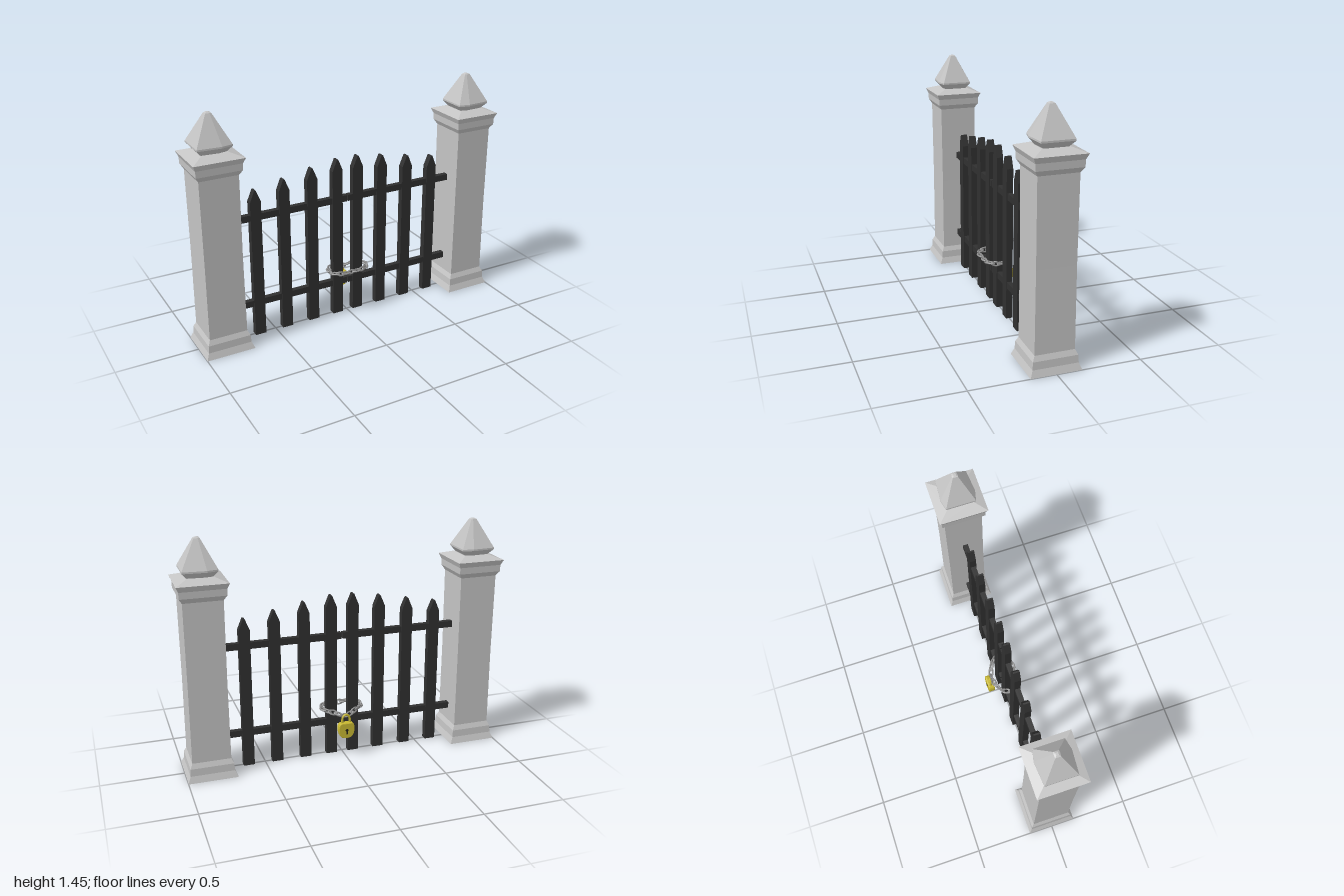
import * as THREE from 'three';

const material = (name, color, extra = {}) =>
  Object.assign(new THREE.MeshStandardMaterial({ color, ...extra }), { name });

// Stacks scaled copies of an outline ([x, z], counter-clockwise seen from above): levels are [scale, y]
function loft(outline, levels) {
  const pos = [];
  const point = (i, l) => {
    const [x, z] = outline[i % outline.length];
    return [x * l[0], l[1], z * l[0]];
  };
  const n = outline.length, first = levels[0], last = levels[levels.length - 1];
  for (let i = 0; i < n; i++) {
    for (let k = 0; k < levels.length - 1; k++) {
      const a = point(i, levels[k]), b = point(i + 1, levels[k]);
      const c = point(i + 1, levels[k + 1]), d = point(i, levels[k + 1]);
      pos.push(...a, ...b, ...c, ...a, ...c, ...d);
    }
    pos.push(0, last[1], 0, ...point(i, last), ...point(i + 1, last));
    pos.push(0, first[1], 0, ...point(i + 1, first), ...point(i, first));
  }
  const g = new THREE.BufferGeometry();
  g.setAttribute('position', new THREE.Float32BufferAttribute(pos, 3));
  g.computeVertexNormals();
  return g;
}

export function createModel() {
  const root = new THREE.Group();
  root.name = 'gate';
  const stone = material('stone', 0xc4c4c4, { flatShading: true });
  const iron = material('darkIron', 0x303030, { flatShading: true });
  const steel = material('chainSteel', 0x8e8e8e);
  const brass = material('brass', 0xc8b832);
  const black = material('keyholeBlack', 0x262418);

  const add = (name, geometry, mat, x = 0, y = 0, z = 0, parent = root) => {
    const mesh = new THREE.Mesh(geometry, mat);
    mesh.name = name;
    mesh.position.set(x, y, z);
    parent.add(mesh);
    return mesh;
  };

  // Square pillars with a moulded foot, cap and pointed finial
  const square = [[-1, 1], [1, 1], [1, -1], [-1, -1]];
  const pillarGeo = loft(square, [[0.15, 0], [0.134, 0.04], [0.131, 0.085], [0.117, 0.115],
    [0.115, 0.6], [0.117, 1.1], [0.135, 1.13], [0.136, 1.17], [0.15, 1.203], [0.08, 1.228]]);
  const knob = [[-1, 0.9], [0.33, 1], [0.95, 0.86], [0.95, -0.86], [0.33, -1], [-1, -0.9]];
  const finialGeo = loft(knob, [[0.07, 1.22], [0.106, 1.262], [0.106, 1.272], [0.018, 1.44], [0.008, 1.446]]);
  for (const s of [-1, 1]) {
    const pillar = new THREE.Group();
    pillar.name = s > 0 ? 'leftPillar' : 'rightPillar';
    pillar.position.x = s * 0.85;
    pillar.rotation.y = s > 0 ? Math.PI : 0;
    add('pillarBody', pillarGeo, stone, 0, 0, 0, pillar);
    add('finial', finialGeo, stone, 0, 0, 0, pillar);
    root.add(pillar);
  }

  // Two gate leaves: pointed pickets on a pair of rails
  for (const s of [-1, 1]) {
    const leaf = new THREE.Group();
    leaf.name = s > 0 ? 'leftLeaf' : 'rightLeaf';
    for (const [x, top] of [[0.07, 1.037], [0.24, 1.012], [0.423, 0.978], [0.605, 0.945]]) {
      const w = 0.034;
      const shape = new THREE.Shape([[-w, 0], [w, 0], [w, top - 0.07], [0.005, top], [-0.005, top], [-w, top - 0.07]]
        .map(p => new THREE.Vector2(...p)));
      const geo = new THREE.ExtrudeGeometry(shape, { depth: 0.04, bevelEnabled: false });
      add('picket', geo, iron, s * x, 0, -0.02, leaf);
    }
    for (const y of [0.218, 0.777])
      add('rail', new THREE.BoxGeometry(0.74, 0.04, 0.032), iron, s * 0.374, y, 0, leaf);
    root.add(leaf);
  }

  // Chain looped round the two middle pickets, links turned alternately
  const chain = new THREE.Group();
  chain.name = 'chain';
  const path = new THREE.CatmullRomCurve3([
    [-0.08, 0.305, 0.075], [0, 0.302, 0.076], [0.08, 0.305, 0.075], [0.125, 0.302, 0.03],
    [0.11, 0.3, -0.03], [0.07, 0.293, -0.056], [0, 0.272, -0.075],
    [-0.07, 0.293, -0.056], [-0.11, 0.3, -0.03], [-0.125, 0.302, 0.03],
  ].map(p => new THREE.Vector3(...p)), true);
  const linkGeo = new THREE.TorusGeometry(0.0135, 0.0055, 6, 14);
  linkGeo.scale(1.75, 1, 1);
  linkGeo.computeVertexNormals();
  const count = 18, xAxis = new THREE.Vector3(1, 0, 0);
  for (let i = 0; i < count; i++) {
    const link = add('chainLink', linkGeo, steel, 0, 0, 0, chain);
    link.position.copy(path.getPointAt(i / count));
    link.quaternion.setFromUnitVectors(xAxis, path.getTangentAt(i / count));
    link.rotateX(i % 2 ? Math.PI / 2 : 0.15);
  }
  root.add(chain);

  // Padlock hanging at the back
  const lock = new THREE.Group();
  lock.name = 'padlock';
  lock.position.set(0, 0.185, -0.09);
  const body = new THREE.Shape();
  body.moveTo(-0.034, 0.042);
  body.lineTo(0.034, 0.042);
  body.bezierCurveTo(0.056, 0.03, 0.048, -0.03, 0.028, -0.045);
  body.quadraticCurveTo(0, -0.056, -0.028, -0.045);
  body.bezierCurveTo(-0.048, -0.03, -0.056, 0.03, -0.034, 0.042);
  add('lockBody', new THREE.ExtrudeGeometry(body, {
    depth: 0.028, bevelThickness: 0.006, bevelSize: 0.005, bevelSegments: 2, curveSegments: 8,
  }), brass, 0, 0, -0.014, lock);
  const shackle = new THREE.CatmullRomCurve3([[-0.024, 0.035], [-0.024, 0.07], [-0.016, 0.09],
    [0, 0.098], [0.016, 0.09], [0.024, 0.07], [0.024, 0.035]].map(p => new THREE.Vector3(p[0], p[1], 0)));
  add('shackle', new THREE.TubeGeometry(shackle, 18, 0.007, 8), brass, 0, 0, 0, lock);
  const hole = new THREE.CylinderGeometry(0.009, 0.009, 0.004, 12).rotateX(Math.PI / 2);
  add('keyholeTop', hole, black, 0, 0, -0.0205, lock);
  add('keyholeSlot', new THREE.BoxGeometry(0.008, 0.024, 0.004), black, 0, -0.014, -0.0205, lock);
  root.add(lock);

  return root;
}
